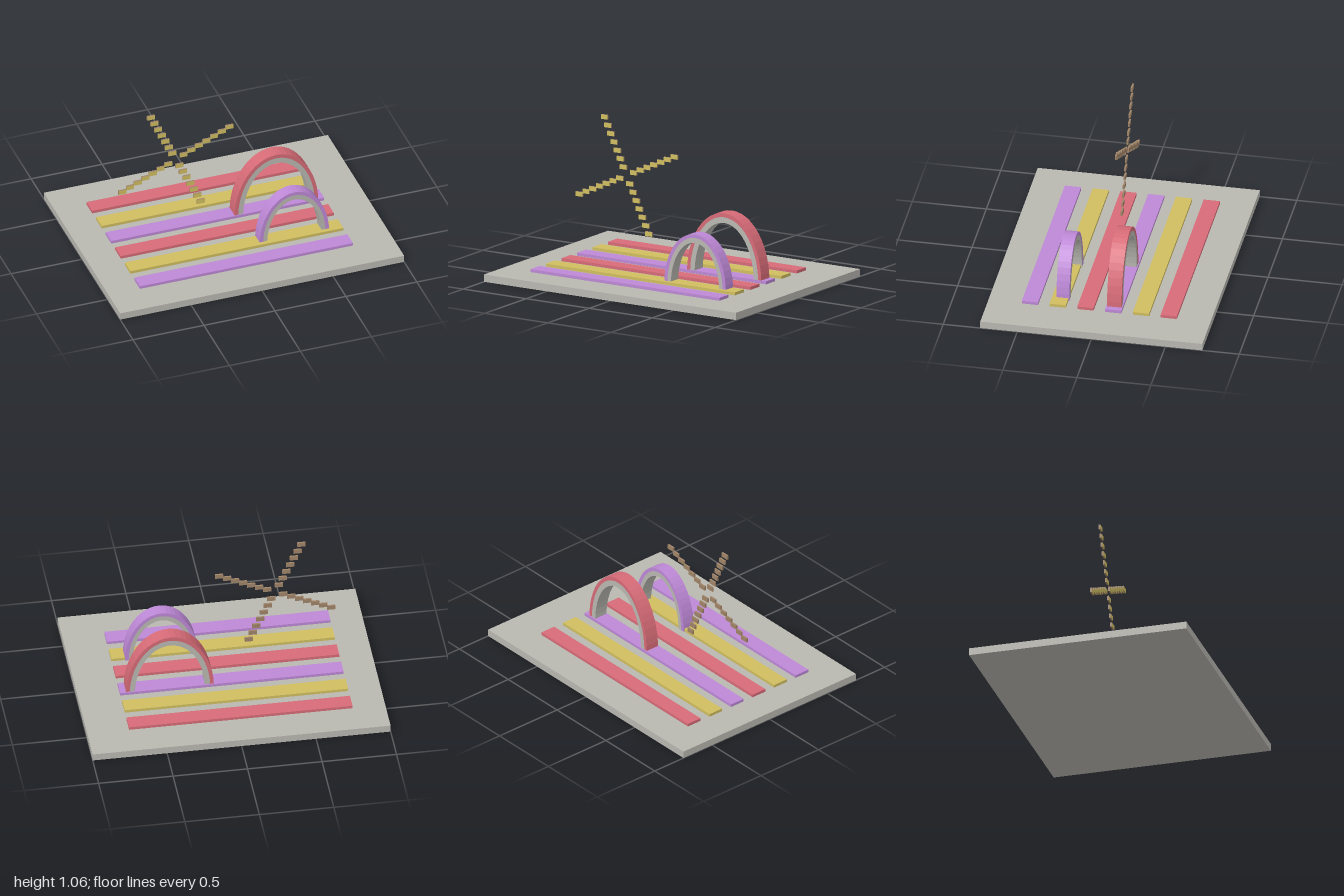
import * as THREE from 'three';

const material = (name, color) => {
  const m = new THREE.MeshStandardMaterial({ color });
  m.name = name;
  return m;
};

export function createModel() {
  const model = new THREE.Group();
  model.name = 'archGarden';

  const stone = material('stone grey', 0xb8b7b0);
  const red = material('red', 0xd66b77);
  const yellow = material('yellow', 0xd0be60);
  const purple = material('purple', 0xbd88d6);
  const brown = material('brown', 0xa08468);

  const add = (parent, name, geometry, mat, x, y, z) => {
    const mesh = new THREE.Mesh(geometry, mat);
    mesh.name = name;
    mesh.position.set(x, y, z);
    parent.add(mesh);
    return mesh;
  };

  // Base slab
  add(model, 'base', new THREE.BoxGeometry(2, 0.05, 1.5), stone, 0, 0.025, 0);

  // Six raised stripes, back to front
  const stripeGeometry = new THREE.BoxGeometry(1.5, 0.02, 0.11);
  [red, yellow, purple, red, yellow, purple].forEach((mat, i) => {
    add(model, 'stripe', stripeGeometry, mat, -0.03, 0.06, (i - 2.5) * 0.1875);
  });

  // Half-elliptical band between an outer and an inner [rx, ry]
  const bandGeometry = (outer, inner, depth) => {
    const steps = 24;
    const points = [];
    for (let i = 0; i <= steps; i++) {
      const a = (i / steps) * Math.PI;
      points.push(new THREE.Vector2(outer[0] * Math.cos(a), outer[1] * Math.sin(a)));
    }
    for (let i = steps; i >= 0; i--) {
      const a = (i / steps) * Math.PI;
      points.push(new THREE.Vector2(inner[0] * Math.cos(a), inner[1] * Math.sin(a)));
    }
    const geometry = new THREE.ExtrudeGeometry(new THREE.Shape(points), { depth, bevelEnabled: false });
    return geometry.translate(0, 0, -depth / 2);
  };

  // Arches: coloured outer band over a grey inner band
  const addArch = (name, mat, outer, middle, inner, depth, z) => {
    const arch = new THREE.Group();
    arch.name = name;
    arch.position.set(0.385, 0.05, z);
    add(arch, 'outerBand', bandGeometry(outer, middle, depth), mat, 0, 0, 0);
    add(arch, 'innerBand', bandGeometry(middle, inner, depth), stone, 0, 0, 0);
    model.add(arch);
  };
  addArch('backArch', red, [0.295, 0.44], [0.27, 0.413], [0.235, 0.374], 0.098, -0.093);
  addArch('frontArch', purple, [0.245, 0.366], [0.22, 0.342], [0.192, 0.308], 0.088, 0.264);

  // Floating pinwheel: four arms of upright slats, yellow on the front face only
  const pinwheel = new THREE.Group();
  pinwheel.name = 'pinwheel';
  pinwheel.position.set(-0.346, 0.665, 0.018);
  const slatGeometry = new THREE.BoxGeometry(0.055, 0.031, 0.012);
  const slatMaterials = [brown, brown, brown, brown, yellow, brown];
  for (let arm = 0; arm < 4; arm++) {
    const angle = THREE.MathUtils.degToRad(25 + arm * 90);
    for (let i = 0; i < 7; i++) {
      const r = 0.06 + i * 0.0592;
      add(pinwheel, 'slat', slatGeometry, slatMaterials, r * Math.cos(angle), r * Math.sin(angle), 0);
    }
  }
  model.add(pinwheel);

  return model;
}
